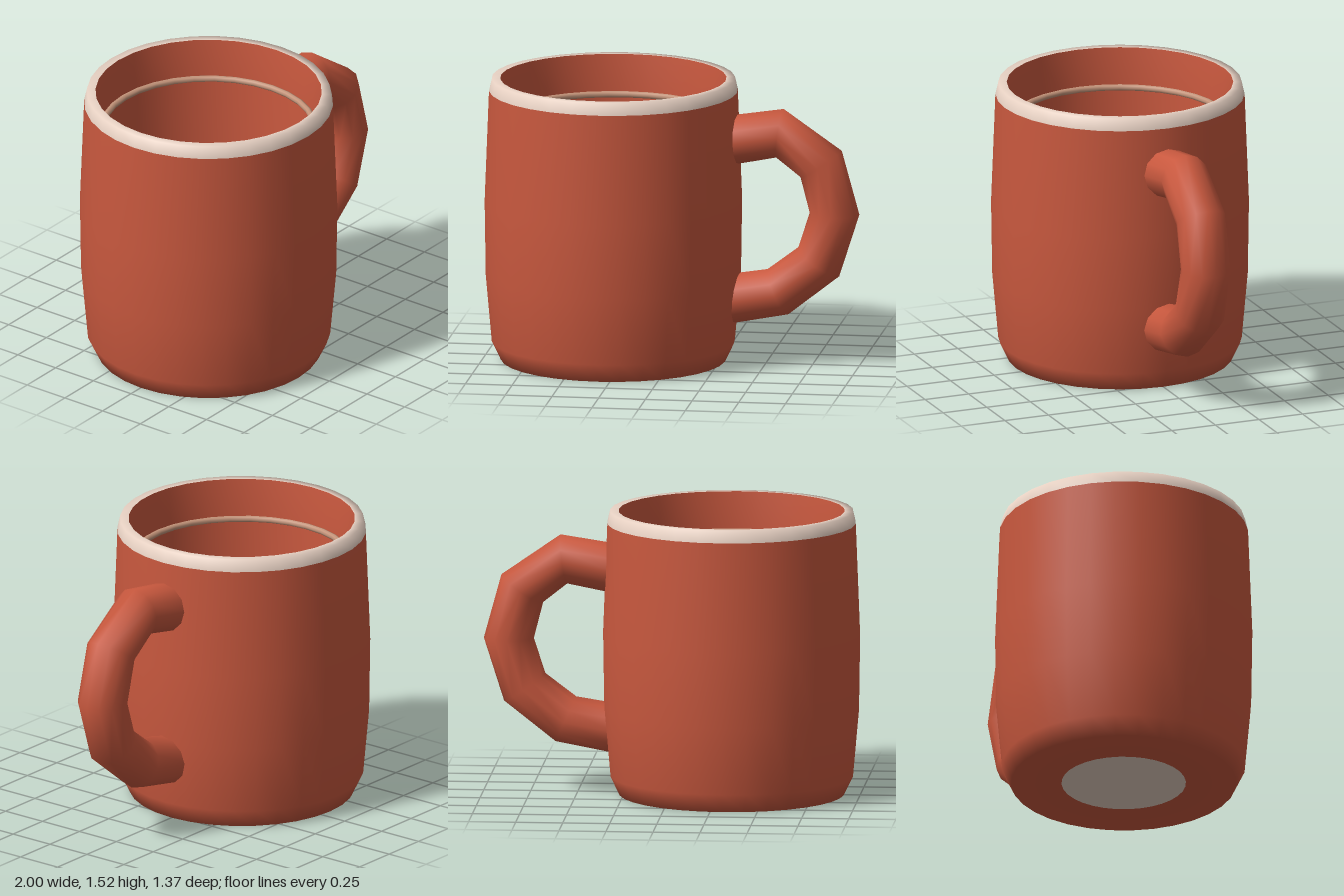
import * as THREE from 'three';
import { RoundedBoxGeometry } from 'three/addons/geometries/RoundedBoxGeometry.js';

const paint = (name, color) => {
  const m = new THREE.MeshStandardMaterial({ color });
  m.name = name;
  return m;
};

export function createModel() {
  const terracotta = paint('terracotta', 0xc8583e);
  const cream = paint('cream', 0xe6d0c2);
  const tan = paint('tan', 0xc4947a);
  const brown = paint('coffee brown', 0x5c3e2f);
  const white = paint('sugar white', 0xdedcd6);

  const model = new THREE.Group();
  const cup = new THREE.Group();
  cup.name = 'cup';
  cup.position.x = -0.317;
  model.add(cup);

  const add = (parent, name, geometry, material, x = 0, y = 0, z = 0) => {
    const mesh = new THREE.Mesh(geometry, material);
    mesh.name = name;
    mesh.position.set(x, y, z);
    parent.add(mesh);
    return mesh;
  };
  const lathe = (points) =>
    new THREE.LatheGeometry(points.map(([r, y]) => new THREE.Vector2(r, y)), 32);

  // Outer wall, from the underside up to the rim
  add(cup, 'outerWall', lathe([
    [0.33, 0], [0.597, 0], [0.645, 0.1], [0.677, 0.46], [0.683, 0.86], [0.66, 1.455],
  ]), terracotta);

  // Glazed rim band, over the lip
  add(cup, 'rim', lathe([[0.66, 1.455], [0.645, 1.52], [0.6, 1.52]]), cream);

  // Inner wall and floor
  add(cup, 'innerWall', lathe([[0.6, 1.52], [0.578, 1.32], [0.568, 0.8], [0.55, 0.1], [0, 0.08]]), terracotta);

  // Thin ring around the inside
  const ring = add(cup, 'innerRing', new THREE.TorusGeometry(0.56, 0.017, 8, 32), tan, 0, 1.31);
  ring.rotation.x = Math.PI / 2;

  // Unglazed disc under the foot
  const foot = add(cup, 'footDisc', new THREE.CircleGeometry(0.33, 32), cream);
  foot.rotation.x = Math.PI / 2;

  // Drink and sugar cubes
  const level = 0.88;
  const coffee = add(cup, 'coffee', new THREE.CircleGeometry(0.57, 32), brown, 0, level);
  coffee.rotation.x = -Math.PI / 2;
  for (const [x, z] of [[0.188, -0.063], [-0.188, 0.155]]) {
    add(cup, 'sugarCube', new RoundedBoxGeometry(0.235, 0.235, 0.235, 3, 0.065), white, x, level + 0.06, z);
  }

  // Handle, a coarse bent tube sunk into the wall
  const path = new THREE.CatmullRomCurve3([
    [0.3, 1.2], [0.595, 1.243], [0.8, 1.08], [0.866, 0.795], [0.77, 0.54], [0.535, 0.376], [0.29, 0.34],
  ].map(([x, y]) => new THREE.Vector3(x, y, 0)));
  add(model, 'handle', new THREE.TubeGeometry(path, 6, 0.133, 12), terracotta);

  return model;
}
